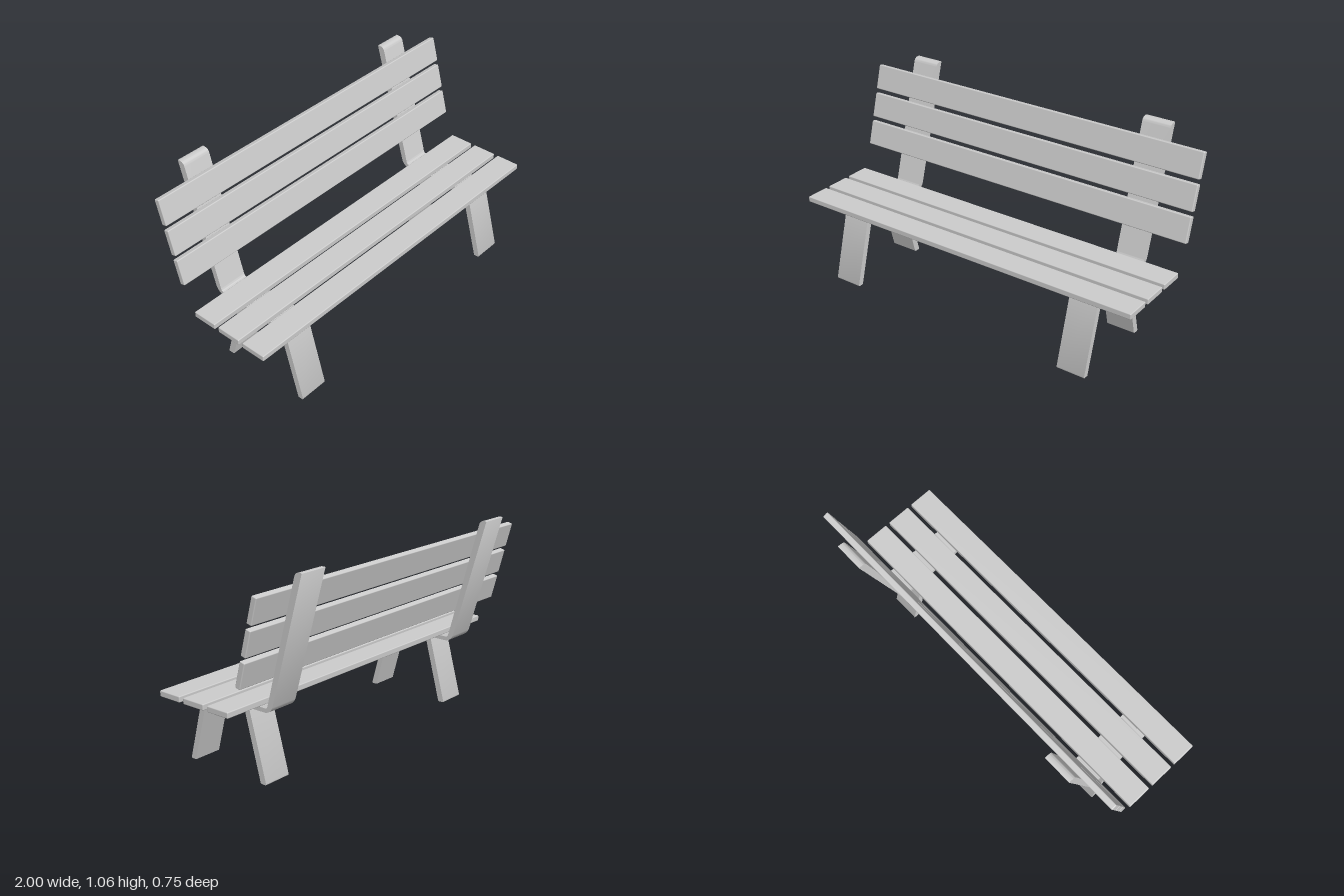
import * as THREE from 'three';
import { toCreasedNormals } from 'three/addons/utils/BufferGeometryUtils.js';
import { RoundedBoxGeometry } from 'three/addons/geometries/RoundedBoxGeometry.js';

const material = new THREE.MeshStandardMaterial({ color: 0xcccccc });
const SUPPORT_X = 0.7125, SUPPORT_WIDTH = 0.155;
const BACK_TILT = -0.265;

// Side profile drawn as (z, y), extruded across x and centred
function extrudeProfile(shape) {
  const geometry = new THREE.ExtrudeGeometry(shape, {
    depth: SUPPORT_WIDTH, bevelEnabled: false, curveSegments: 8,
  });
  geometry.translate(0, 0, -SUPPORT_WIDTH / 2);
  geometry.rotateY(-Math.PI / 2);
  return toCreasedNormals(geometry, 0.6);
}

// Bent board: front leg, seat rail and back post in one strip
function frameShape() {
  const s = new THREE.Shape();
  s.moveTo(0.345, 0.0);
  s.lineTo(0.243, 0.366);
  s.lineTo(-0.135, 0.366);
  s.bezierCurveTo(-0.16, 0.366, -0.181, 0.385, -0.188, 0.41);
  s.lineTo(-0.376, 1.058);
  s.quadraticCurveTo(-0.376, 1.062, -0.371, 1.062);
  s.lineTo(-0.355, 1.061);
  s.quadraticCurveTo(-0.339, 1.059, -0.333, 1.04);
  s.lineTo(-0.155, 0.403);
  s.quadraticCurveTo(-0.151, 0.388, -0.14, 0.388);
  s.lineTo(0.27, 0.391);
  s.lineTo(0.375, 0.008);
  s.quadraticCurveTo(0.376, 0.0, 0.369, 0.0);
  s.closePath();
  return s;
}

// Rear leg slanting back from under the seat rail
function rearLegShape() {
  const s = new THREE.Shape();
  s.moveTo(-0.104, 0.0);
  s.lineTo(-0.128, 0.0);
  s.quadraticCurveTo(-0.135, 0.0, -0.133, 0.008);
  s.lineTo(-0.029, 0.387);
  s.lineTo(0.004, 0.387);
  s.lineTo(-0.098, 0.005);
  s.closePath();
  return s;
}

export function createModel() {
  const bench = new THREE.Group();
  bench.name = 'bench';
  const add = (name, geometry, x, y, z, tilt = 0) => {
    const mesh = new THREE.Mesh(geometry, material);
    mesh.name = name;
    mesh.position.set(x, y, z);
    mesh.rotation.x = tilt;
    bench.add(mesh);
  };

  // Supports on both sides
  const frame = extrudeProfile(frameShape());
  const rearLeg = extrudeProfile(rearLegShape());
  for (const [side, sign] of [['left', 1], ['right', -1]]) {
    add(side + 'Frame', frame, sign * SUPPORT_X, 0, 0);
    add(side + 'RearLeg', rearLeg, sign * SUPPORT_X, 0, 0);
  }

  // Seat and backrest slats
  const seatSlat = new RoundedBoxGeometry(2, 0.031, 0.135, 2, 0.005);
  const backSlat = new RoundedBoxGeometry(2, 0.135, 0.031, 2, 0.005);
  for (let i = 0; i < 3; i++) {
    add('seatSlat' + (i + 1), seatSlat, 0, 0.4065, 0.2745 - i * 0.159);
    add('backSlat' + (i + 1), backSlat, 0, 0.615 + i * 0.154, -0.195 - i * 0.041, BACK_TILT);
  }
  return bench;
}
